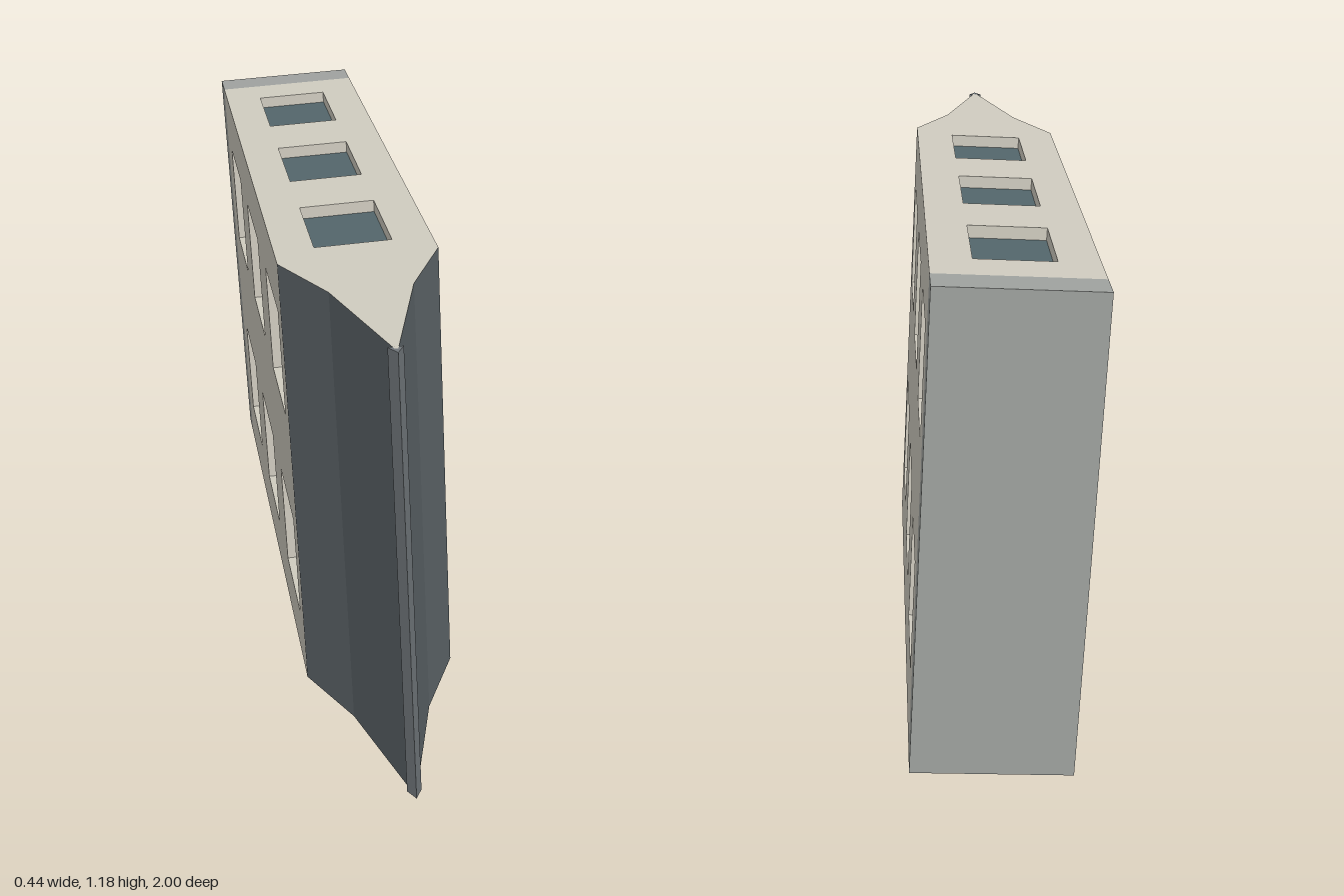
import * as THREE from 'three';

const W = 0.378, H = 1.162, D = 0.03;        // width, height, window recess
const BACK = -1, BAND = -0.91, SHOULDER = 0.47;
const WINDOW_Z = [0.26, -0.2, -0.66];
const TILT = THREE.MathUtils.degToRad(3);

const paint = (color) => new THREE.MeshStandardMaterial({ color, flatShading: true });

export function createModel() {
  const plaster = paint(0xd0ccc0), band = paint(0x9fa29f), blueGlass = paint(0x53666b);
  const greenGlass = paint(0x848a7c), slate = paint(0x5f676b), edge = paint(0x70767a);

  const model = new THREE.Group();
  model.name = 'leaningSlab';
  const body = new THREE.Group();
  body.name = 'body';
  body.rotation.z = TILT;
  body.position.y = (H * Math.cos(TILT) + W * Math.sin(TILT)) / 2;
  model.add(body);

  const add = (parent, name, geometry, material) => {
    const mesh = new THREE.Mesh(geometry, material);
    mesh.name = name;
    parent.add(mesh);
    return mesh;
  };

  // Rectangle outline, centred on (x, y)
  const rect = (Type, x, y, w, h) => new Type([
    new THREE.Vector2(x - w / 2, y - h / 2), new THREE.Vector2(x + w / 2, y - h / 2),
    new THREE.Vector2(x + w / 2, y + h / 2), new THREE.Vector2(x - w / 2, y + h / 2),
  ]);

  // A wall facing +x with recessed windows, then turned about z onto its side
  function wall(name, turn, reach, height, rows, windowHeight) {
    const group = new THREE.Group();
    group.name = name;
    group.rotation.z = turn;
    const outline = rect(THREE.Shape, -(BAND + SHOULDER) / 2, 0, SHOULDER - BAND, height);
    for (const { y, glass } of rows) {
      for (const z of WINDOW_Z) {
        outline.holes.push(rect(THREE.Path, -z, y, 0.266, windowHeight));
        const pane = add(group, 'windowPane',
          new THREE.BoxGeometry(0.01, windowHeight + 0.01, 0.276), glass);
        pane.position.set(reach - D - 0.005, y, z);
      }
    }
    const geometry = new THREE.ExtrudeGeometry(outline, { depth: D, bevelEnabled: false });
    geometry.rotateY(Math.PI / 2).translate(reach - D, 0, 0);
    add(group, name + 'Panel', geometry, plaster);
    body.add(group);
  }

  // Long side walls: two storeys, one with green panes
  const storeys = [{ y: -0.29, glass: blueGlass }, { y: 0.29, glass: greenGlass }];
  wall('leftWall', 0, W / 2, H - 2 * D, storeys, 0.28);
  wall('rightWall', Math.PI, W / 2, H - 2 * D, storeys, 0.28);

  // Roof and underside: one row of windows each
  const single = [{ y: 0, glass: blueGlass }];
  wall('roof', Math.PI / 2, H / 2, W, single, 0.186);
  wall('underside', -Math.PI / 2, H / 2, W, single, 0.186);

  // Back slab
  add(body, 'backSlab', new THREE.BoxGeometry(W, H, BAND - BACK), band)
    .position.z = (BACK + BAND) / 2;

  // Tapered front: plaster caps, slate flanks
  const half = [[W / 2, SHOULDER], [0.096, 0.66], [0.004, 0.98]];
  const points = [...half, ...half.map(([x, z]) => [-x, z]).reverse()];
  const nose = new THREE.ExtrudeGeometry(
    new THREE.Shape(points.map(([x, z]) => new THREE.Vector2(x, z))),
    { depth: H, bevelEnabled: false });
  nose.rotateX(Math.PI / 2).translate(0, H / 2, 0);
  add(body, 'taperedFront', nose, [plaster, slate]);

  // Three-sided strip along the front edge, one corner forward
  add(body, 'frontEdge', new THREE.CylinderGeometry(0.02, 0.02, H, 3), edge)
    .position.z = 0.98;

  return model;
}
